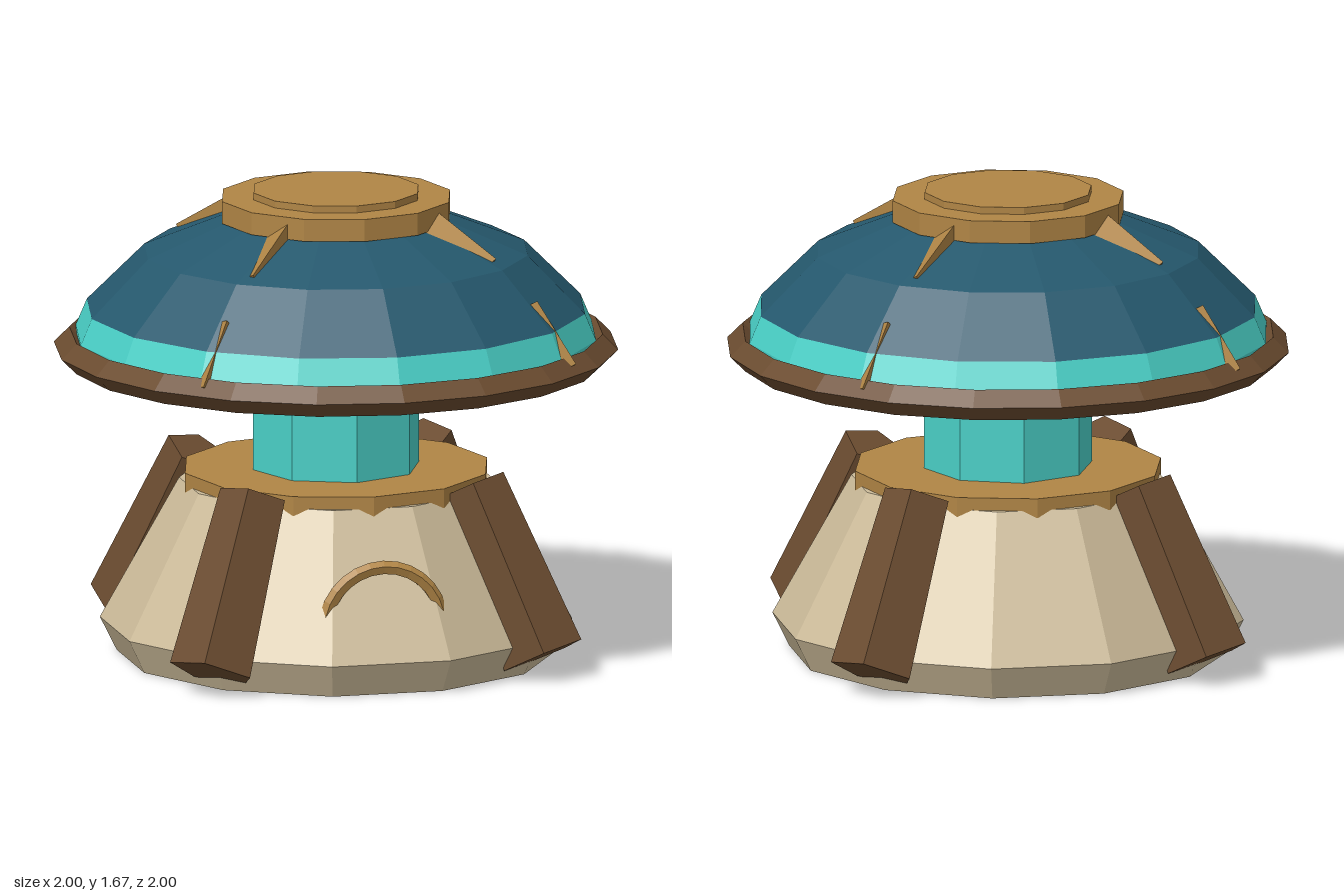
import * as THREE from 'three';

const paint = (name, color) => {
  const m = new THREE.MeshStandardMaterial({ color, flatShading: true });
  m.name = name;
  return m;
};

export function createModel() {
  const stone = paint('beige stone', 0xcdbc9a);
  const wood = paint('brown wood', 0x6b4c30);
  const gold = paint('gold', 0xb08545);
  const cyan = paint('cyan', 0x4ad0c7);
  const teal = paint('dark teal', 0x25586d);

  const model = new THREE.Group();
  model.name = 'mushroomTower';

  const add = (name, geometry, material, parent = model) => {
    const mesh = new THREE.Mesh(geometry, material);
    mesh.name = name;
    parent.add(mesh);
    return mesh;
  };
  // Turned part from [radius, height] points, listed upwards
  const turned = (name, points, sides, material, start = 0) =>
    add(name, new THREE.LatheGeometry(points.map(p => new THREE.Vector2(...p)), sides, start), material);
  // Upright prism between two heights
  const disc = (name, radius, y0, y1, sides, material) => {
    const mesh = add(name, new THREE.CylinderGeometry(radius, radius, y1 - y0, sides), material);
    mesh.position.y = (y0 + y1) / 2;
  };
  // Four leaning prisms on the diagonals, from inner-top [r, y] to outer-bottom [r, y]
  const beams = (name, [r0, y0], [r1, y1], radius0, radius1, sides, start, material) => {
    for (let i = 0; i < 4; i++) {
      const arm = new THREE.Group();
      arm.name = name;
      arm.rotation.y = Math.PI / 4 + i * Math.PI / 2;
      const length = Math.hypot(r1 - r0, y1 - y0);
      const geometry = new THREE.CylinderGeometry(radius0, radius1, length, sides, 1, false, start);
      const mesh = add(name + 'Beam', geometry, material, arm);
      mesh.position.set(0, (y0 + y1) / 2, (r0 + r1) / 2);
      mesh.rotation.x = -Math.atan2(r1 - r0, y0 - y1);
      model.add(arm);
    }
  };

  // Base, with a flat face to the front
  turned('base', [[0, 0.02], [0.775, 0.02], [0.835, 0.14], [0.555, 0.645], [0, 0.645]], 12, stone, Math.PI / 12);
  disc('baseCollar', 0.55, 0.62, 0.69, 12, gold);
  beams('leg', [0.56, 0.68], [0.85, 0.095], 0.125, 0.155, 5, Math.PI / 2, wood);

  // Arch over the front
  const arch = add('frontArch', new THREE.TorusGeometry(0.213, 0.025, 5, 14, Math.PI), gold);
  arch.position.set(0, 0.25, 0.685);

  // Stem and dome
  disc('stem', 0.303, 0.6, 1.06, 8, cyan);
  turned('domeUnderside', [[0, 1.04], [0.64, 1.04], [0.93, 1.125], [0.93, 1.17], [0.89, 1.265]], 16, cyan);
  turned('dome', [[0.89, 1.265], [0.685, 1.47], [0.39, 1.59], [0, 1.63]], 16, teal);
  const rim = add('rim', new THREE.TorusGeometry(0.945, 0.055, 4, 20), wood);
  rim.rotation.x = Math.PI / 2;
  rim.position.y = 1.123;

  // Gold cap and fins
  disc('cap', 0.415, 1.585, 1.665, 12, gold);
  disc('capPlate', 0.3, 1.66, 1.69, 12, gold);
  beams('upperFin', [0.33, 1.6], [0.6, 1.44], 0.08, 0.08, 3, Math.PI / 6, gold);
  beams('lowerFin', [0.76, 1.33], [0.92, 1.12], 0.07, 0.07, 3, Math.PI / 6, gold);

  return model;
}
